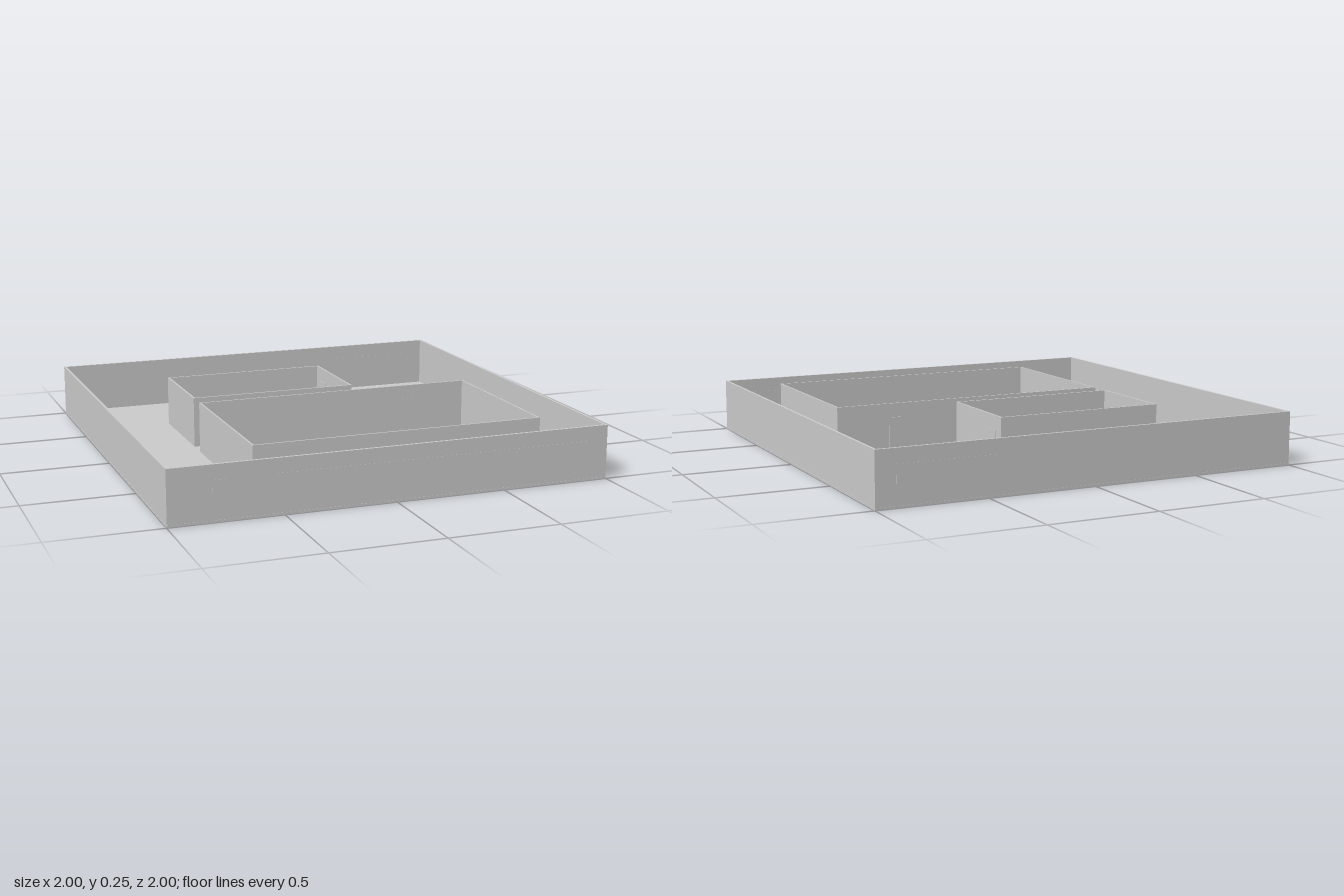
import * as THREE from 'three';

const material = new THREE.MeshStandardMaterial({ color: 0xcccccc, flatShading: true });
const H = 0.245, FLOOR = 0.01;

// Box given by its min/max extents
function block(name, x0, x1, y0, y1, z0, z1) {
  const mesh = new THREE.Mesh(new THREE.BoxGeometry(x1 - x0, y1 - y0, z1 - z0), material);
  mesh.position.set((x0 + x1) / 2, (y0 + y1) / 2, (z0 + z1) / 2);
  mesh.name = name;
  return mesh;
}

// Rectangular ring of walls, open at the top
function wallRing(name, x0, x1, z0, z1, t, y0) {
  const shape = new THREE.Shape([[x0, -z1], [x1, -z1], [x1, -z0], [x0, -z0]].map(p => new THREE.Vector2(...p)));
  shape.holes.push(new THREE.Path([[x0 + t, -z1 + t], [x0 + t, -z0 - t], [x1 - t, -z0 - t], [x1 - t, -z1 + t]]
    .map(p => new THREE.Vector2(...p))));
  const geometry = new THREE.ExtrudeGeometry(shape, { depth: H - y0, bevelEnabled: false });
  geometry.rotateX(-Math.PI / 2);
  geometry.translate(0, y0, 0);
  const mesh = new THREE.Mesh(geometry, material);
  mesh.name = name;
  return mesh;
}

export function createModel() {
  const model = new THREE.Group();
  model.name = 'floorPlan';

  // Floor slab and walls
  model.add(
    block('floor', -1, 1, 0, FLOOR, -1, 1),
    wallRing('outerWalls', -0.999, 0.999, -0.999, 0.999, 0.012, FLOOR),
    wallRing('smallRoomWalls', -0.567, 0.23, -0.57, -0.105, 0.009, FLOOR),
    wallRing('largeRoomWalls', -0.567, 0.782, -0.013, 0.782, 0.008, FLOOR),
  );

  // Doors and windows, passing through the walls and barely proud of them
  const doorY = [0.025, 0.18], windowY = [0.045, 0.18];
  model.add(
    block('frontDoor', -0.806, -0.735, ...doorY, 0.986, 1),
    block('frontWindow', -0.545, 0.905, ...windowY, 0.986, 1),
    block('backWindow', 0.465, 0.908, ...windowY, -1, -0.986),
    block('largeRoomDoor', 0.455, 0.528, ...doorY, -0.018, -0.004),
    block('smallRoomDoor', 0.218, 0.232, ...doorY, -0.513, -0.438),
  );
  return model;
}
